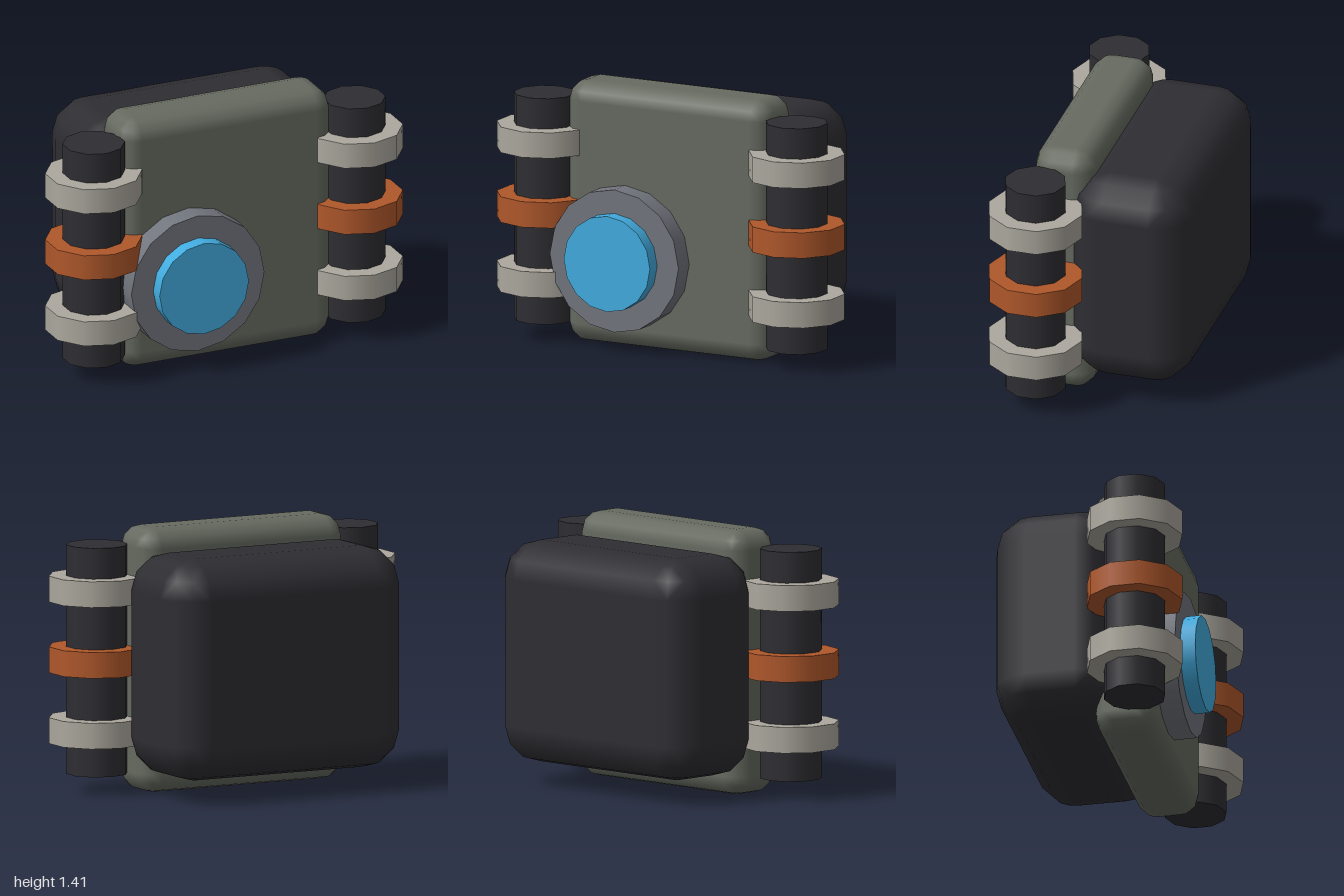
import * as THREE from 'three';
import { ConvexGeometry } from 'three/addons/geometries/ConvexGeometry.js';

const mat = (color) => new THREE.MeshStandardMaterial({ color });
const MATS = {
  plate: mat(0x666a60), dark: mat(0x2e2d32), band: mat(0xaca89e),
  orange: mat(0xb0582b), rim: mat(0x71757d), lens: mat(0x42acdf),
};

// Box with three-step bevels on every edge and smooth normals
function bevelBox(w, h, d, r) {
  const inner = new THREE.Vector3(w / 2 - r, h / 2 - r, d / 2 - r);
  const points = [];
  for (const sx of [-1, 1]) for (const sy of [-1, 1]) for (const sz of [-1, 1])
    for (let i = 0; i <= 3; i++) for (let j = 0; j <= (i === 3 ? 0 : 3); j++) {
      const lat = (i * Math.PI) / 6, lon = (j * Math.PI) / 6;
      points.push(new THREE.Vector3(
        sx * (inner.x + r * Math.cos(lat) * Math.cos(lon)),
        sy * (inner.y + r * Math.sin(lat)),
        sz * (inner.z + r * Math.cos(lat) * Math.sin(lon))));
    }
  const geo = new ConvexGeometry(points);
  const pos = geo.attributes.position, nor = geo.attributes.normal;
  const p = new THREE.Vector3(), c = new THREE.Vector3(), lo = inner.clone().negate();
  for (let i = 0; i < pos.count; i++) {
    p.fromBufferAttribute(pos, i);
    c.copy(p).clamp(lo, inner);
    p.sub(c).normalize();
    nor.setXYZ(i, p.x, p.y, p.z);
  }
  return geo;
}

function add(parent, name, geo, material, x, y, z) {
  const mesh = new THREE.Mesh(geo, material);
  mesh.name = name;
  mesh.position.set(x, y, z);
  parent.add(mesh);
  return mesh;
}

export function createModel() {
  const model = new THREE.Group();
  model.name = 'devicePack';

  // Front plate and the thicker pack behind it
  add(model, 'frontPlate', bevelBox(1.22, 1.41, 0.33, 0.105), MATS.plate, 0, 0.707, 0.168);
  add(model, 'backPack', bevelBox(1.41, 1.18, 0.66, 0.2), MATS.dark, 0, 0.71, -0.205);

  // Side canisters with three bands each
  const rod = new THREE.CylinderGeometry(0.165, 0.165, 1.22, 10);
  const band = new THREE.CylinderGeometry(0.257, 0.257, 0.138, 10);
  for (const side of [1, -1]) {
    const canister = new THREE.Group();
    canister.name = side > 0 ? 'leftCanister' : 'rightCanister';
    canister.position.set(side * 0.754, 0, 0.264);
    add(canister, 'rod', rod, MATS.dark, 0, 0.71, 0);
    add(canister, 'lowerBand', band, MATS.band, 0, 0.333, 0);
    add(canister, 'middleBand', band, MATS.orange, 0, 0.71, 0);
    add(canister, 'upperBand', band, MATS.band, 0, 1.087, 0);
    model.add(canister);
  }

  // Round light: rim and glowing disc facing forward
  const disc = (r, depth) => new THREE.CylinderGeometry(r, r, depth, 16).rotateX(Math.PI / 2);
  add(model, 'lightRim', disc(0.385, 0.15), MATS.rim, -0.237, 0.5, 0.378);
  add(model, 'lightDisc', disc(0.258, 0.15), MATS.lens, -0.237, 0.5, 0.459);

  return model;
}
